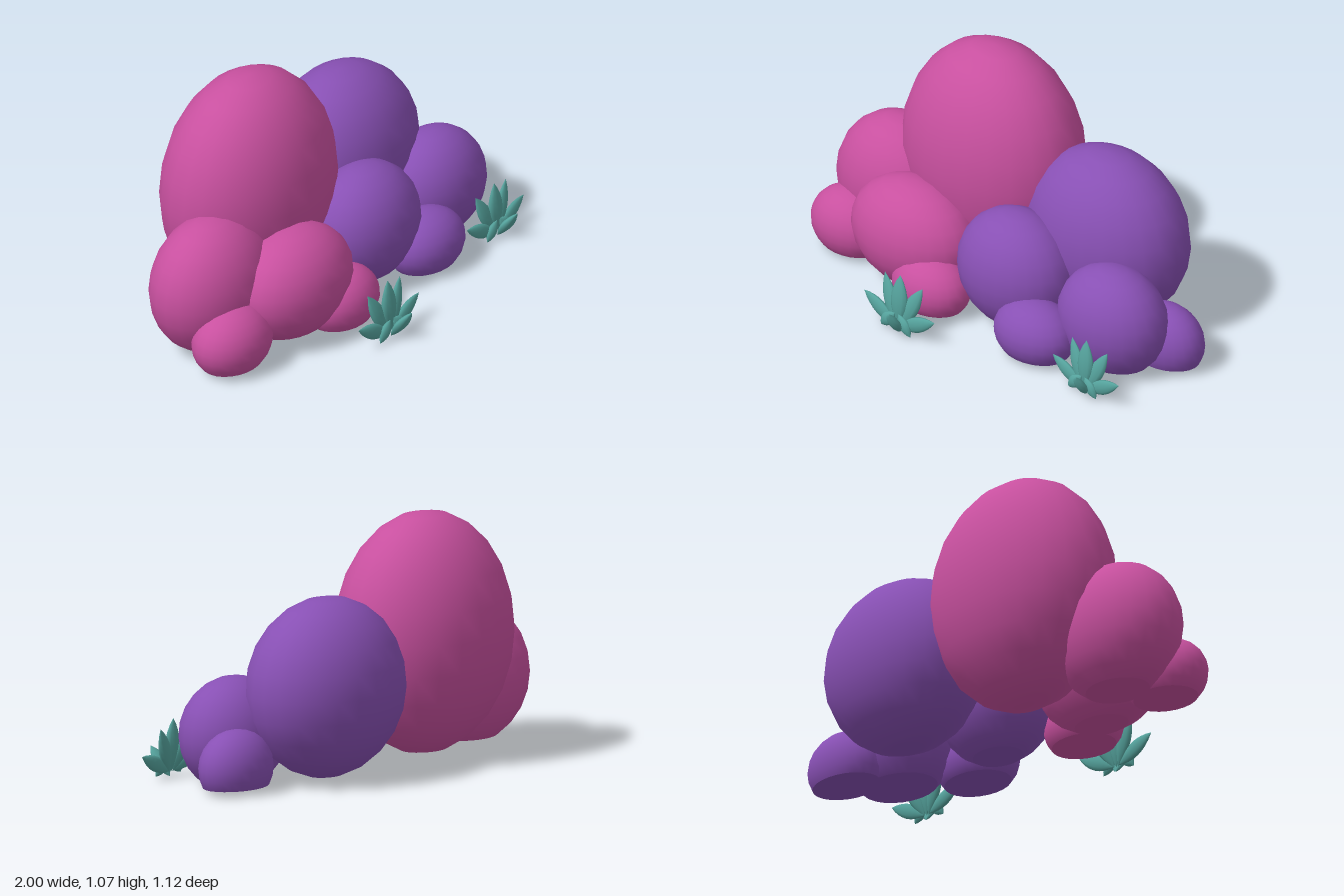
import * as THREE from 'three';

const mat = (name, color) => {
  const m = new THREE.MeshStandardMaterial({ color });
  m.name = name;
  return m;
};

const FLOOR = 0.025; // height at which the boulders are cut flat

// Ellipsoid boulder, cut flat on its underside
function boulder(name, material, [x, y, z], [rx, ry, rz]) {
  const group = new THREE.Group();
  group.name = name;
  const c = Math.max(-1, (FLOOR - y) / ry);
  const cut = Math.acos(c);
  const rows = Math.max(8, Math.round(cut / (Math.PI / 12)));
  const dome = new THREE.SphereGeometry(1, 24, rows, 0, Math.PI * 2, 0, cut);
  dome.scale(rx, ry, rz);
  const domeMesh = new THREE.Mesh(dome, material);
  domeMesh.name = name + 'Dome';
  group.add(domeMesh);
  if (c > -0.999) {
    const base = new THREE.CircleGeometry(Math.sin(cut), 24);
    base.rotateX(Math.PI / 2);
    base.scale(rx, 1, rz);
    base.translate(0, c * ry, 0);
    const baseMesh = new THREE.Mesh(base, material);
    baseMesh.name = name + 'Base';
    group.add(baseMesh);
  }
  group.position.set(x, y, z);
  return group;
}

// Pointed leaf of unit length along y, centred on its middle
function leafGeometry() {
  const profile = [];
  for (let i = 0; i <= 8; i++) {
    const t = i / 8;
    const r = i % 8 === 0 ? 0 : 0.5 * Math.pow(Math.sin(Math.PI * t), 0.85);
    profile.push(new THREE.Vector2(r, t - 0.5));
  }
  return new THREE.LatheGeometry(profile, 10);
}

// Leaves fanned out sideways, with a few leaning forward
function tuft(name, material, geometry) {
  const group = new THREE.Group();
  group.name = name;
  const leaf = (from, to, width, thick) => {
    const a = new THREE.Vector3(...from), b = new THREE.Vector3(...to);
    const up = b.clone().sub(a);
    const length = up.length();
    up.normalize();
    const side = up.clone().cross(new THREE.Vector3(0, 0, 1)).normalize();
    const face = side.clone().cross(up);
    const mesh = new THREE.Mesh(geometry, material);
    mesh.name = 'leaf';
    mesh.quaternion.setFromRotationMatrix(new THREE.Matrix4().makeBasis(side, up, face));
    mesh.scale.set(width, length, thick);
    mesh.position.copy(a).add(b).multiplyScalar(0.5);
    group.add(mesh);
  };
  leaf([0, 0.02, 0], [0, 0.27, -0.015], 0.09, 0.04);
  for (const s of [-1, 1]) {
    leaf([s * 0.01, 0.02, 0], [s * 0.108, 0.235, -0.035], 0.075, 0.035);
    leaf([s * 0.01, 0.025, 0], [s * 0.203, 0.118, -0.008], 0.072, 0.035);
    leaf([s * 0.01, 0.09, 0.01], [s * 0.085, 0.008, 0.015], 0.06, 0.035);
  }
  leaf([0.005, 0, 0], [0.035, 0.135, 0.092], 0.075, 0.04);
  return group;
}

export function createModel() {
  const model = new THREE.Group();
  model.name = 'coralRocks';
  const pink = mat('pink', 0xc8509f);
  const purple = mat('purple', 0x8850b4);
  const teal = mat('teal', 0x55a39d);

  // Pink cluster
  model.add(
    boulder('pinkLargeBoulder', pink, [-0.275, 0.55, -0.228], [0.443, 0.523, 0.333]),
    boulder('pinkSideBoulder', pink, [-0.69, 0.295, -0.095], [0.31, 0.31, 0.235]),
    boulder('pinkFrontBoulder', pink, [-0.41, 0.25, 0.12], [0.315, 0.247, 0.22]),
    boulder('pinkSmallSideBoulder', pink, [-0.79, 0.13, 0.1], [0.2, 0.162, 0.155]),
    boulder('pinkSmallFrontBoulder', pink, [-0.215, 0.113, 0.23], [0.19, 0.147, 0.145])
  );

  // Purple cluster
  model.add(
    boulder('purpleLargeBoulder', purple, [0.365, 0.405, -0.245], [0.398, 0.389, 0.293]),
    boulder('purpleFrontBoulder', purple, [0.13, 0.27, 0.07], [0.283, 0.27, 0.22]),
    boulder('purpleSideBoulder', purple, [0.648, 0.21, 0.03], [0.264, 0.248, 0.205]),
    boulder('purpleSmallFrontBoulder', purple, [0.37, 0.113, 0.215], [0.198, 0.147, 0.15]),
    boulder('purpleSmallSideBoulder', purple, [0.808, 0.105, -0.13], [0.188, 0.165, 0.136])
  );

  // Two leafy tufts in front
  const leaf = leafGeometry();
  const tuftA = tuft('rightTuft', teal, leaf);
  tuftA.position.set(-0.185, 0, 0.472);
  const tuftB = tuft('leftTuft', teal, leaf);
  tuftB.position.set(0.738, 0, 0.305);
  tuftB.scale.set(0.94, 0.94, 0.94);
  model.add(tuftA, tuftB);
  return model;
}
